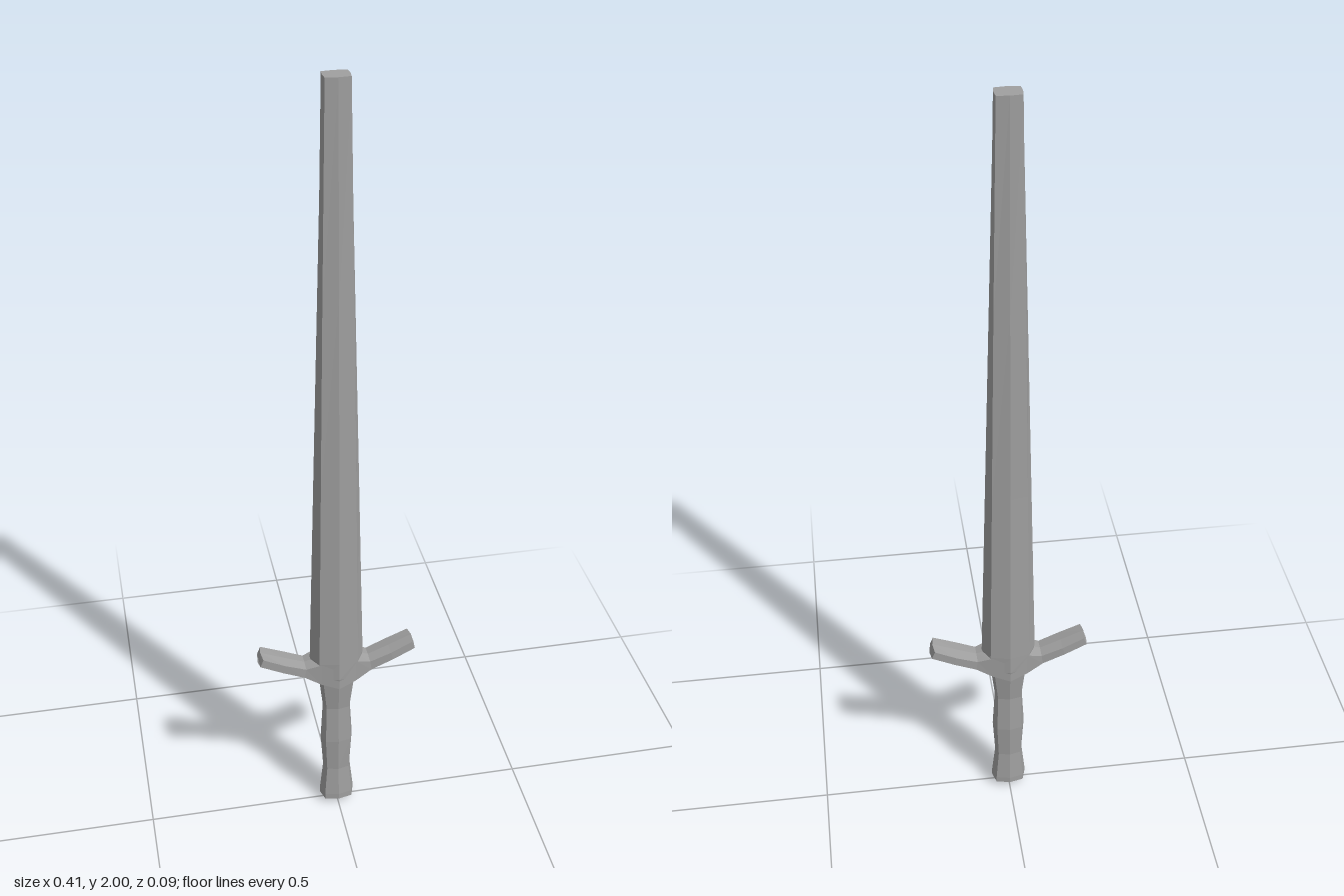
import * as THREE from 'three';

const steel = new THREE.MeshStandardMaterial({ color: 0xa0a0a0 });
steel.name = 'steel';
steel.flatShading = true;

// Joins rings of points [x, y, z] into a closed, faceted surface.
// Rings run counter-clockwise seen from the far end of the loft.
function loft(name, rings) {
  const pos = [];
  const tri = (a, b, c) => pos.push(...a, ...b, ...c);
  const n = rings[0].length;
  for (let i = 0; i < rings.length - 1; i++) {
    for (let j = 0; j < n; j++) {
      const k = (j + 1) % n;
      const [a, b, c, d] = [rings[i][j], rings[i][k], rings[i + 1][k], rings[i + 1][j]];
      tri(a, b, c);
      tri(a, c, d);
    }
  }
  const first = rings[0], last = rings[rings.length - 1];
  for (let j = 1; j < n - 1; j++) {
    tri(first[0], first[j + 1], first[j]);
    tri(last[0], last[j], last[j + 1]);
  }
  const geometry = new THREE.BufferGeometry();
  geometry.setAttribute('position', new THREE.Float32BufferAttribute(pos, 3));
  geometry.computeVertexNormals();
  const mesh = new THREE.Mesh(geometry, steel);
  mesh.name = name;
  return mesh;
}

// Eight-sided upright section: side ridge w, shoulder (sw, sd), centre ridge d.
const upright = ([y, w, sw, sd, d]) => [
  [w, y, 0], [sw, y, -sd], [0, y, -d], [-sw, y, -sd],
  [-w, y, 0], [-sw, y, sd], [0, y, d], [sw, y, sd],
];

// Six-sided guard section, ridged above and below; tilt leans it outwards.
const guardRing = side => ([x, low, high, d, tilt, bulge]) => {
  const ring = [
    [x + tilt + bulge, low, 0], [x + tilt, low + 0.004, -d], [x - tilt, high - 0.003, -d],
    [x - tilt + bulge, high, 0], [x - tilt, high - 0.003, d], [x + tilt, low + 0.004, d],
  ].map(([px, py, pz]) => [side * px, py, pz]);
  return side > 0 ? ring : ring.reverse();
};

export function createModel() {
  const group = new THREE.Group();
  group.name = 'sword';

  // Blade: broad and ridged at the guard, cut square at the top
  group.add(loft('blade', [
    [0.44, 0.052, 0.045, 0.034, 0.046],
    [0.49, 0.069, 0.05, 0.035, 0.046],
    [1.0, 0.056, 0.043, 0.03, 0.039],
    [1.5, 0.043, 0.036, 0.026, 0.032],
    [2.0, 0.03, 0.028, 0.021, 0.024],
  ].map(upright)));

  // Grip with a swelling in the middle and a shallow pointed pommel
  group.add(loft('grip', [
    [0.0, 0.008, 0.006, 0.006, 0.008],
    [0.018, 0.045, 0.036, 0.03, 0.038],
    [0.035, 0.045, 0.036, 0.03, 0.038],
    [0.12, 0.036, 0.029, 0.024, 0.031],
    [0.22, 0.042, 0.033, 0.028, 0.035],
    [0.33, 0.036, 0.03, 0.025, 0.031],
    [0.42, 0.046, 0.039, 0.032, 0.042],
    [0.44, 0.052, 0.045, 0.034, 0.046],
  ].map(upright)));

  // Upswept guard arms
  for (const side of [1, -1]) {
    group.add(loft(side > 0 ? 'leftGuard' : 'rightGuard', [
      [0, 0.405, 0.5, 0.045, 0, 0],
      [0.045, 0.42, 0.49, 0.036, 0, 0],
      [0.085, 0.444, 0.477, 0.029, 0.002, 0],
      [0.14, 0.47, 0.499, 0.031, 0.003, 0],
      [0.196, 0.496, 0.524, 0.028, 0.004, 0.004],
    ].map(guardRing(side))));
  }
  return group;
}
